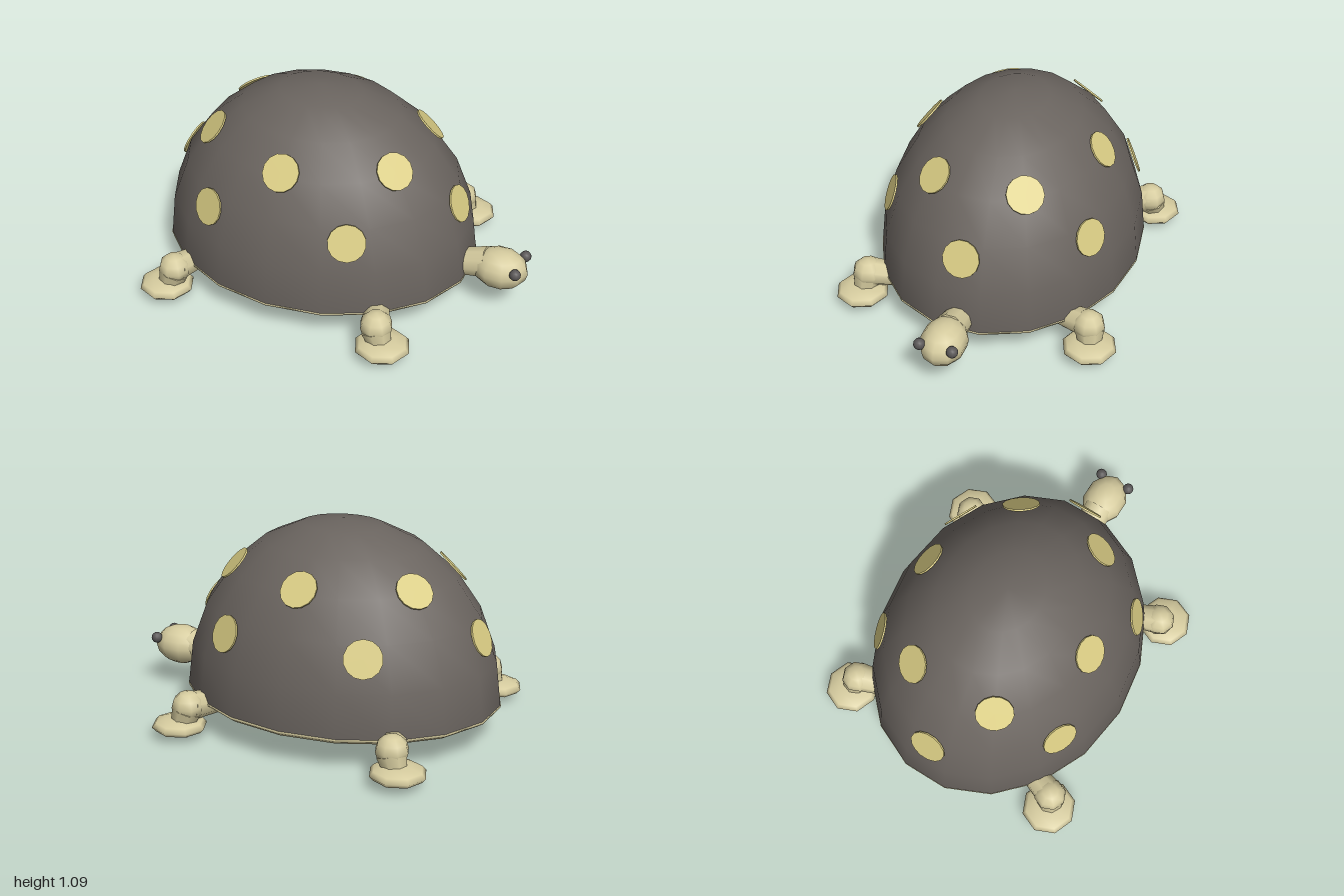
import * as THREE from 'three';

const CX = -0.16, BASE = 0.17;              // shell centre and rim height
const RX = 0.85, RY = 0.92, RZ = 0.695;     // shell half-axes

export function createModel() {
  const model = new THREE.Group();
  model.name = 'turtle';
  const material = (name, color) => {
    const m = new THREE.MeshStandardMaterial({ color });
    m.name = name;
    return m;
  };
  const shellMat = material('shell grey', 0x6a645f);
  const skinMat = material('skin cream', 0xd6cc9f);
  const spotMat = material('spot yellow', 0xd8cb83);
  const eyeMat = material('eye grey', 0x5a5757);

  const add = (name, geometry, mat, parent = model) => {
    const mesh = new THREE.Mesh(geometry, mat);
    mesh.name = name;
    parent.add(mesh);
    return mesh;
  };
  const ball = (name, mat, pos, r, seg, rings, parent) => {
    const mesh = add(name, new THREE.SphereGeometry(1, seg, rings), mat, parent);
    mesh.position.set(...pos);
    mesh.scale.set(...r);
    return mesh;
  };
  // Tapered limb running from a to b
  const limb = (name, a, b, ra, rb, seg, parent) => {
    const from = new THREE.Vector3(...a), to = new THREE.Vector3(...b);
    const dir = to.clone().sub(from);
    const mesh = add(name, new THREE.CylinderGeometry(rb, ra, dir.length(), seg), skinMat, parent);
    mesh.position.copy(from).add(to).multiplyScalar(0.5);
    mesh.quaternion.setFromUnitVectors(new THREE.Vector3(0, 1, 0), dir.normalize());
  };

  // Domed shell, six rings high
  const dome = add('shell', new THREE.SphereGeometry(1, 18, 6, Math.PI / 2, Math.PI * 2, 0, Math.PI / 2), shellMat);
  dome.position.set(CX, BASE, 0);
  dome.scale.set(RX, RY, RZ);

  // Shallow belly with a narrow rim
  const profile = [];
  for (let i = 0; i <= 6; i++) {
    const t = (i / 6) * Math.PI / 2;
    profile.push(new THREE.Vector2(Math.sin(t), 0.168 - 0.07 * Math.cos(t)));
  }
  profile.push(new THREE.Vector2(1.002, 0.18), new THREE.Vector2(0.97, 0.18));
  const belly = add('belly', new THREE.LatheGeometry(profile, 18), skinMat);
  belly.position.x = CX;
  belly.scale.set(RX, 1, RZ);

  // Two staggered rings of six round spots
  const spots = new THREE.Group();
  spots.name = 'spots';
  model.add(spots);
  const spotGeo = new THREE.CylinderGeometry(0.097, 0.097, 0.009, 14);
  for (const [height, turn] of [[0.435, 0], [0.728, Math.PI / 6]]) {
    const ring = Math.sqrt(1 - height * height);
    for (let i = 0; i < 6; i++) {
      const a = turn + (i * Math.PI) / 3;
      const u = new THREE.Vector3(Math.cos(a) * ring, height, Math.sin(a) * ring);
      const normal = new THREE.Vector3(u.x / RX, u.y / RY, u.z / RZ).normalize();
      const spot = add('spot', spotGeo, spotMat, spots);
      spot.position.set(CX + u.x * RX, BASE + u.y * RY, u.z * RZ).addScaledVector(normal, 0.002);
      spot.quaternion.setFromUnitVectors(new THREE.Vector3(0, 1, 0), normal);
    }
  }

  // Neck and head
  limb('neck', [0.46, 0.17, 0], [0.78, 0.25, 0], 0.06, 0.085, 10);
  ball('head', skinMat, [0.845, 0.235, 0], [0.15, 0.107, 0.118], 10, 8);
  for (const s of [-1, 1]) ball('eye', eyeMat, [0.952, 0.28, s * 0.086], [0.03, 0.03, 0.03], 12, 8);

  // Four legs: thigh, knee, ankle and flat foot
  for (const sx of [-1, 1]) for (const sz of [-1, 1]) {
    const leg = new THREE.Group();
    leg.name = sx > 0 ? 'headEndLeg' : 'tailEndLeg';
    model.add(leg);
    const p = (x, y, z) => [CX + sx * x, y, sz * z];
    limb('thigh', p(0.5, 0.14, 0.4), p(0.57, 0.17, 0.61), 0.055, 0.078, 8, leg);
    ball('knee', skinMat, p(0.573, 0.17, 0.61), [0.085, 0.08, 0.085], 8, 6, leg);
    limb('ankle', p(0.575, 0.15, 0.615), p(0.615, 0.02, 0.63), 0.08, 0.05, 8, leg);
    ball('foot', skinMat, p(0.615, 0.067, 0.63), [0.145, 0.045, 0.142], 8, 6, leg);
    ball('heelPad', skinMat, p(0.615, 0.03, 0.63), [0.055, 0.03, 0.055], 8, 6, leg);
  }
  return model;
}
